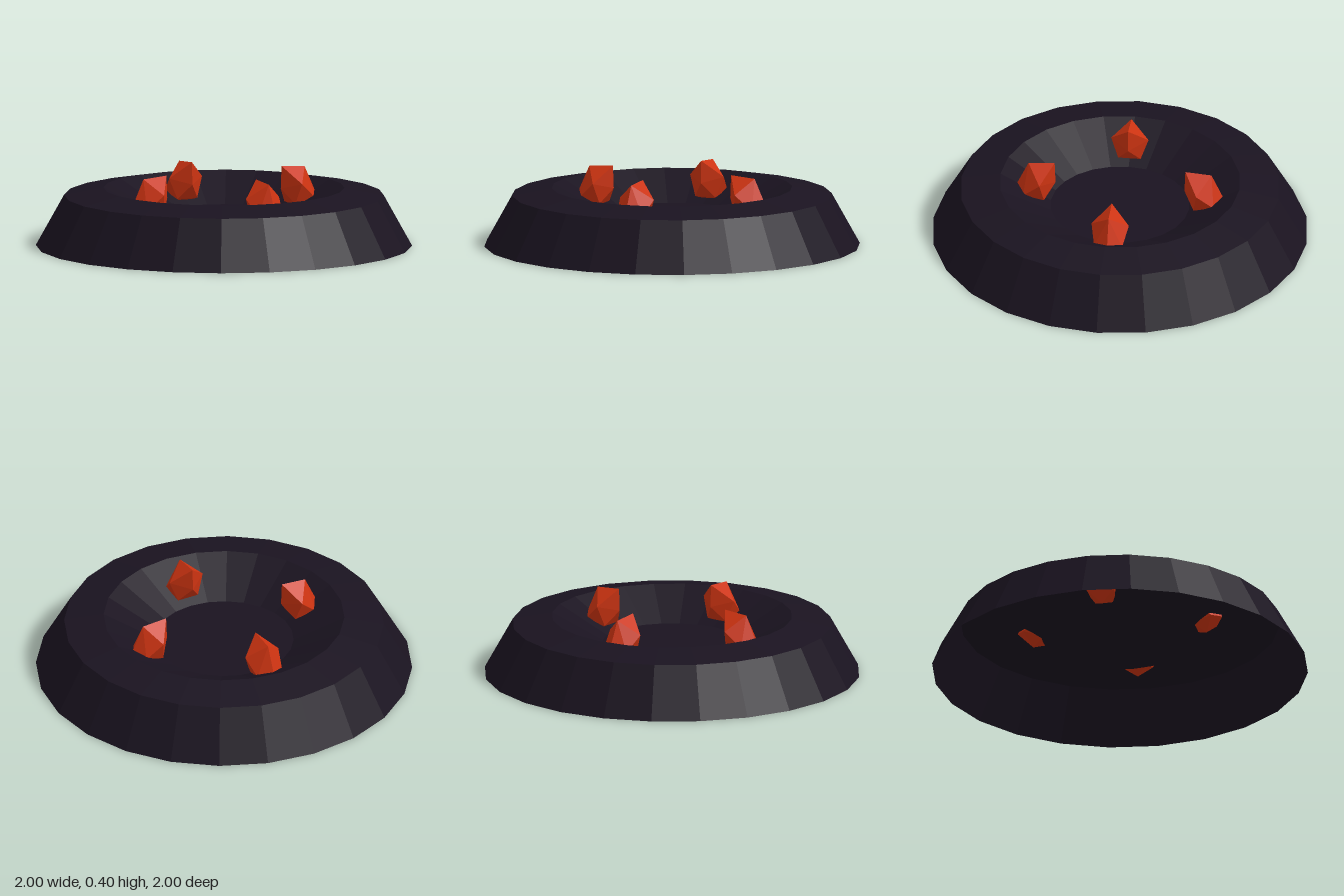
import * as THREE from 'three';
import { ConvexGeometry } from 'three/addons/geometries/ConvexGeometry.js';

export function createModel() {
  const model = new THREE.Group();
  model.name = 'emberCrater';

  const rockMaterial = new THREE.MeshStandardMaterial({ color: 0x1a1320, flatShading: true, side: THREE.DoubleSide });
  const emberMaterial = new THREE.MeshStandardMaterial({ color: 0xcc3311, flatShading: true });

  // Open-bottomed crater shell: sloping wall, shallow rim, sunken dish
  const profile = [[1, 0], [0.85, 0.27], [0.64, 0.31], [0.37, 0.165], [0, 0.165]]
    .map(([r, y]) => new THREE.Vector2(r, y));
  const crater = new THREE.Mesh(new THREE.LatheGeometry(profile, 24), rockMaterial);
  crater.name = 'craterShell';
  model.add(crater);

  // Faceted crystal, mirrored across its radial plane: [half width, height, radius]
  const corners = [
    [0, 0.40, 0.35], [0, 0.39, 0.49], [0, 0.25, 0.555], [0, 0.28, 0.345],
    [0.1, 0.31, 0.42], [0.075, 0.23, 0.51], [0.06, 0.2, 0.4], [0, 0.165, 0.47],
  ];
  const points = [];
  for (const [x, y, z] of corners) {
    points.push(new THREE.Vector3(x, y, z));
    if (x > 0) points.push(new THREE.Vector3(-x, y, z));
  }
  const crystalGeometry = new ConvexGeometry(points);

  // Four crystals set into the dish slope
  for (let i = 0; i < 4; i++) {
    const crystal = new THREE.Mesh(crystalGeometry, emberMaterial);
    crystal.name = `crystal${i + 1}`;
    crystal.rotation.y = (i * Math.PI) / 2;
    model.add(crystal);
  }

  return model;
}
